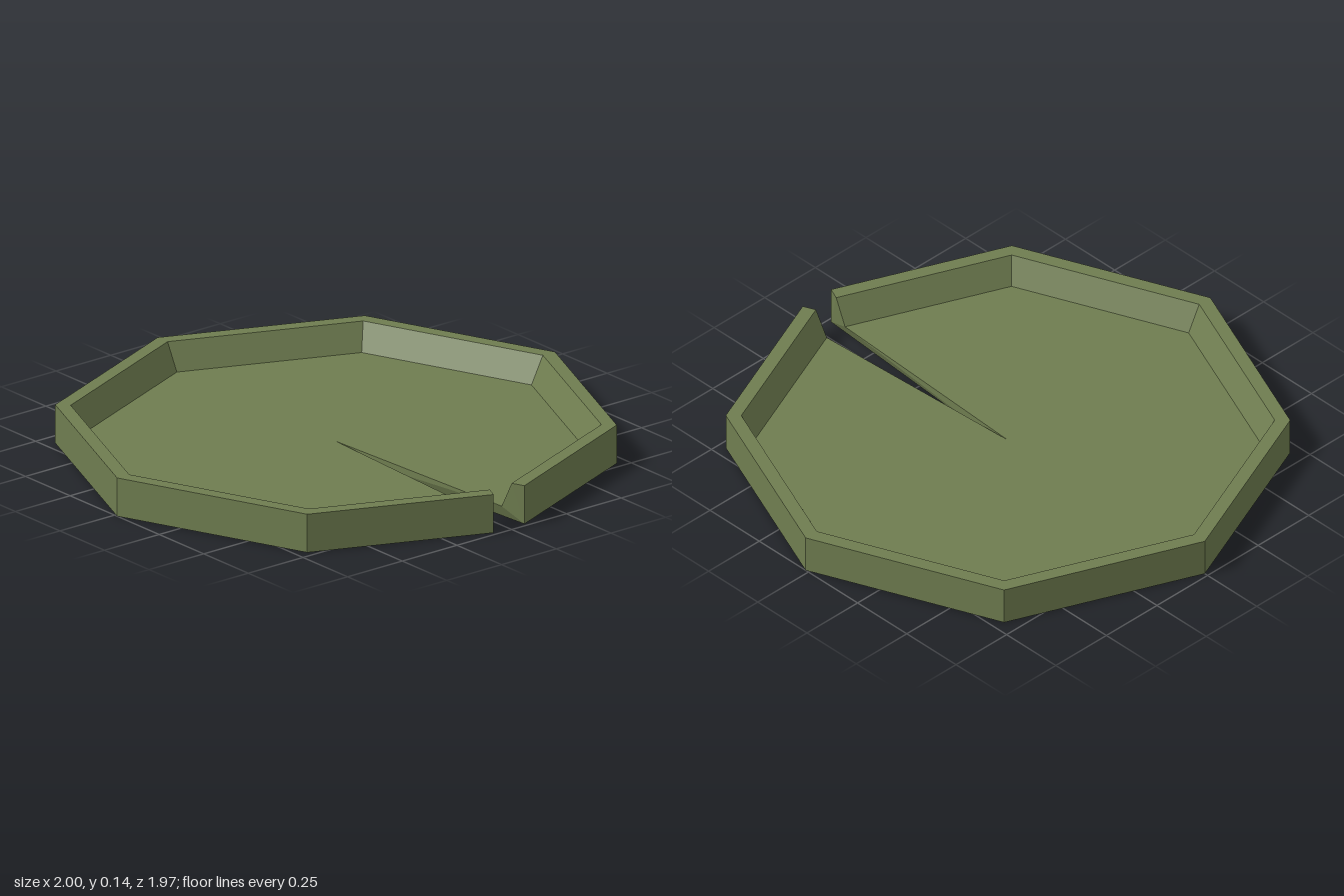
import * as THREE from 'three';

const CZ = 0.014;      // pad centre in z
const HEIGHT = 0.145;  // rim top
const FLOOR = 0.045;   // floor top

// Rings from the underside centre, around the rim, to the floor centre:
// radius, height and half width of the notch
const RINGS = [
  { r: 0, y: 0, notch: 0 },
  { r: 1, y: 0, notch: 0.07 },
  { r: 1, y: HEIGHT, notch: 0.07 },
  { r: 0.945, y: HEIGHT, notch: 0.05 },
  { r: 0.893, y: FLOOR, notch: 0.045 },
  { r: 0, y: FLOOR, notch: 0 },
];

// Cross-section at station 0..8: stations 1..7 are octagon corners, 0 and 8 the notch sides
function section(i) {
  const a = (i * Math.PI) / 4;
  return RINGS.map(({ r, y, notch }) => {
    if (i === 0 || i === 8) {
      const side = i === 0 ? 1 : -1;
      return new THREE.Vector3(side * notch, y, CZ + r - notch * Math.tan(Math.PI / 8));
    }
    return new THREE.Vector3(r * Math.sin(a), y, CZ + r * Math.cos(a));
  });
}

function padGeometry() {
  const points = [];
  const tri = (...corners) => points.push(...corners);
  const sections = Array.from({ length: 9 }, (_, i) => section(i));

  // Underside, outer wall, rim, inner slope and floor, sector by sector
  for (let i = 0; i < 8; i++) {
    const p = sections[i], q = sections[i + 1];
    for (let j = 0; j < 5; j++) {
      if (j > 0) tri(p[j], q[j], q[j + 1]);
      if (j < 4) tri(p[j], q[j + 1], p[j + 1]);
    }
  }

  // Two side walls of the notch
  for (const [s, flip] of [[sections[0], false], [sections[8], true]]) {
    for (const [a, b, c] of [[1, 2, 3], [1, 3, 4], [1, 4, 0], [0, 4, 5]]) {
      if (flip) tri(s[a], s[c], s[b]);
      else tri(s[a], s[b], s[c]);
    }
  }

  const geometry = new THREE.BufferGeometry().setFromPoints(points);
  geometry.computeVertexNormals();
  return geometry;
}

export function createModel() {
  const model = new THREE.Group();
  model.name = 'lilyPad';
  const leafGreen = new THREE.MeshStandardMaterial({ color: 0x6f7d50, flatShading: true });
  leafGreen.name = 'leaf green';
  const pad = new THREE.Mesh(padGeometry(), leafGreen);
  pad.name = 'notchedPad';
  model.add(pad);
  return model;
}
